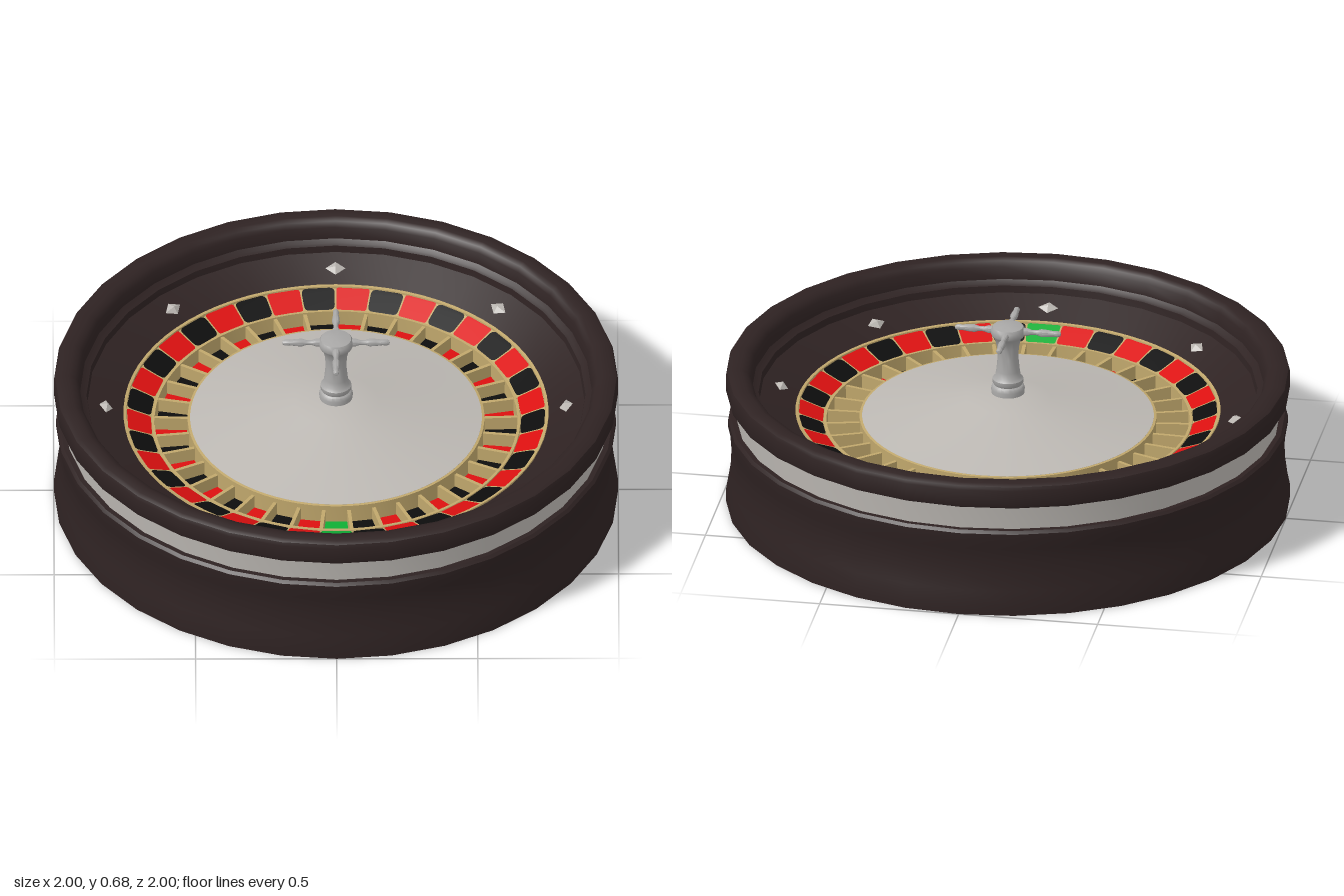
import * as THREE from 'three';
import { mergeGeometries, toCreasedNormals } from 'three/addons/utils/BufferGeometryUtils.js';

const POCKETS = 37;
const STEP = (Math.PI * 2) / POCKETS;

const flat = (name, color) => {
  const m = new THREE.MeshStandardMaterial({ color });
  m.name = name;
  return m;
};

// Revolved profile; sharp edges stay sharp
function lathe(points, segments, crease = 0.6) {
  const g = new THREE.LatheGeometry(points.map(([r, y]) => new THREE.Vector2(r, y)), segments);
  return toCreasedNormals(g, crease);
}

// Rounded tile bent onto the ring between two radii, sloping from y0 to y1
function tile(angle, r0, r1, y0, y1, gap, round) {
  const h = STEP / 2 - gap;
  const k = round / r1;
  const s = new THREE.Shape();
  s.moveTo(-h + k, r0);
  s.lineTo(h - k, r0);
  s.quadraticCurveTo(h, r0, h, r0 + round);
  s.lineTo(h, r1 - round);
  s.quadraticCurveTo(h, r1, h - k, r1);
  s.lineTo(-h + k, r1);
  s.quadraticCurveTo(-h, r1, -h, r1 - round);
  s.lineTo(-h, r0 + round);
  s.quadraticCurveTo(-h, r0, -h + k, r0);
  const g = new THREE.ShapeGeometry(s, 4);
  const p = g.attributes.position;
  for (let i = 0; i < p.count; i++) {
    const a = angle - p.getX(i);
    const r = p.getY(i);
    p.setXYZ(i, r * Math.sin(a), y0 + ((r - r0) / (r1 - r0)) * (y1 - y0), r * Math.cos(a));
  }
  g.computeVertexNormals();
  return g;
}

export function createModel() {
  const wood = flat('dark wood', 0x2e2222);
  const silver = flat('satin silver', 0xbcb8b3);
  const chrome = flat('chrome', 0xa8a7a6);
  const gold = flat('pale gold', 0xc0a76c);
  const red = flat('red', 0xdc1010);
  const black = flat('black', 0x0d0d0d);
  const green = flat('green', 0x0fae35);

  const model = new THREE.Group();
  const add = (name, geometry, material, parent = model) => {
    const mesh = new THREE.Mesh(geometry, material);
    mesh.name = name;
    parent.add(mesh);
    return mesh;
  };

  // Waisted wooden base
  add('base', lathe([
    [0, 0], [1, 0], [1, 0.04], [0.99, 0.09], [0.982, 0.15], [0.98, 0.2],
    [0.984, 0.25], [0.992, 0.285], [0.992, 0.312], [0.982, 0.322], [0.94, 0.322],
  ], 32), wood);

  // Silver band between base and rim
  add('band', lathe([[0.963, 0.315], [0.968, 0.37], [0.972, 0.415]], 32), silver);

  // Rounded rim, inner step and sloping ball track
  add('rim', lathe([
    [0.94, 0.412], [0.985, 0.412], [0.996, 0.418], [1, 0.43], [1, 0.485], [0.995, 0.498],
    [0.98, 0.506], [0.945, 0.506], [0.925, 0.498], [0.912, 0.48], [0.907, 0.435],
    [0.895, 0.425], [0.884, 0.42], [0.88, 0.395], [0.745, 0.337],
  ], 32), wood);

  // Gold ring: outer lip, number slope, pocket walls and floor
  add('pocketRing', lathe([
    [0.755, 0.33], [0.753, 0.347], [0.743, 0.345], [0.742, 0.337], [0.655, 0.303],
    [0.653, 0.309], [0.643, 0.309], [0.642, 0.25], [0.526, 0.25], [0.526, 0.32], [0.514, 0.322],
  ], POCKETS * 2, 0.3), gold);

  // Number tiles and pocket floors, green at the front then alternating
  const sets = [
    { name: 'green', material: green, tiles: [], floors: [] },
    { name: 'black', material: black, tiles: [], floors: [] },
    { name: 'red', material: red, tiles: [], floors: [] },
  ];
  for (let i = 0; i < POCKETS; i++) {
    const set = sets[i === 0 ? 0 : i % 2 ? 1 : 2];
    const round = set.material === black ? 0.02 : 0.01;
    set.tiles.push(tile(i * STEP, 0.656, 0.741, 0.307, 0.341, 0.004, round));
    set.floors.push(tile(i * STEP, 0.528, 0.641, 0.253, 0.253, 0.008, 0.002));
  }
  for (const s of sets) {
    add(s.name + 'NumberTiles', mergeGeometries(s.tiles), s.material);
    add(s.name + 'PocketFloors', mergeGeometries(s.floors), s.material);
  }

  // Dividers between the pockets
  const dividers = [];
  for (let i = 0; i < POCKETS; i++) {
    const g = new THREE.BoxGeometry(0.013, 0.055, 0.122);
    g.translate(0, 0.2755, 0.585);
    g.rotateY((i + 0.5) * STEP);
    dividers.push(g);
  }
  add('pocketDividers', mergeGeometries(dividers), gold);

  // Shallow central cone
  add('cone', lathe([[0.518, 0.31], [0.517, 0.322], [0.3, 0.362], [0.15, 0.395], [0, 0.425]],
    POCKETS * 2), silver);

  // Eight diamond studs on the ball track
  const studs = new THREE.Group();
  studs.name = 'diamondStuds';
  model.add(studs);
  const stud = new THREE.OctahedronGeometry(1).scale(0.036, 0.014, 0.026);
  stud.rotateX(-0.4);
  for (let i = 0; i < 8; i++) {
    const a = (i * Math.PI) / 4;
    const m = add('diamondStud', stud, silver, studs);
    m.position.set(0.815 * Math.sin(a), 0.371, 0.815 * Math.cos(a));
    m.rotation.y = a;
  }

  // Turned post with its hub
  const turret = new THREE.Group();
  turret.name = 'turret';
  model.add(turret);
  add('post', lathe([
    [0.058, 0.4], [0.06, 0.43], [0.056, 0.443], [0.05, 0.447], [0.055, 0.455], [0.055, 0.468],
    [0.046, 0.478], [0.042, 0.5], [0.037, 0.55], [0.039, 0.59], [0.047, 0.625], [0.057, 0.634],
    [0.06, 0.642], [0.06, 0.66], [0.054, 0.669], [0.03, 0.674], [0, 0.676],
  ], 24, 0.7), chrome, turret);

  // Four turned handles
  const arm = lathe([
    [0.013, 0.04], [0.014, 0.07], [0.009, 0.085], [0.009, 0.105], [0.014, 0.12],
    [0.013, 0.14], [0.01, 0.165], [0.011, 0.18], [0.007, 0.189], [0, 0.191],
  ], 12, 0.9);
  arm.rotateX(Math.PI / 2);
  for (let i = 0; i < 4; i++) {
    const m = add('handle', arm, chrome, turret);
    m.position.y = 0.652;
    m.rotation.y = (i * Math.PI) / 2;
  }

  return model;
}
